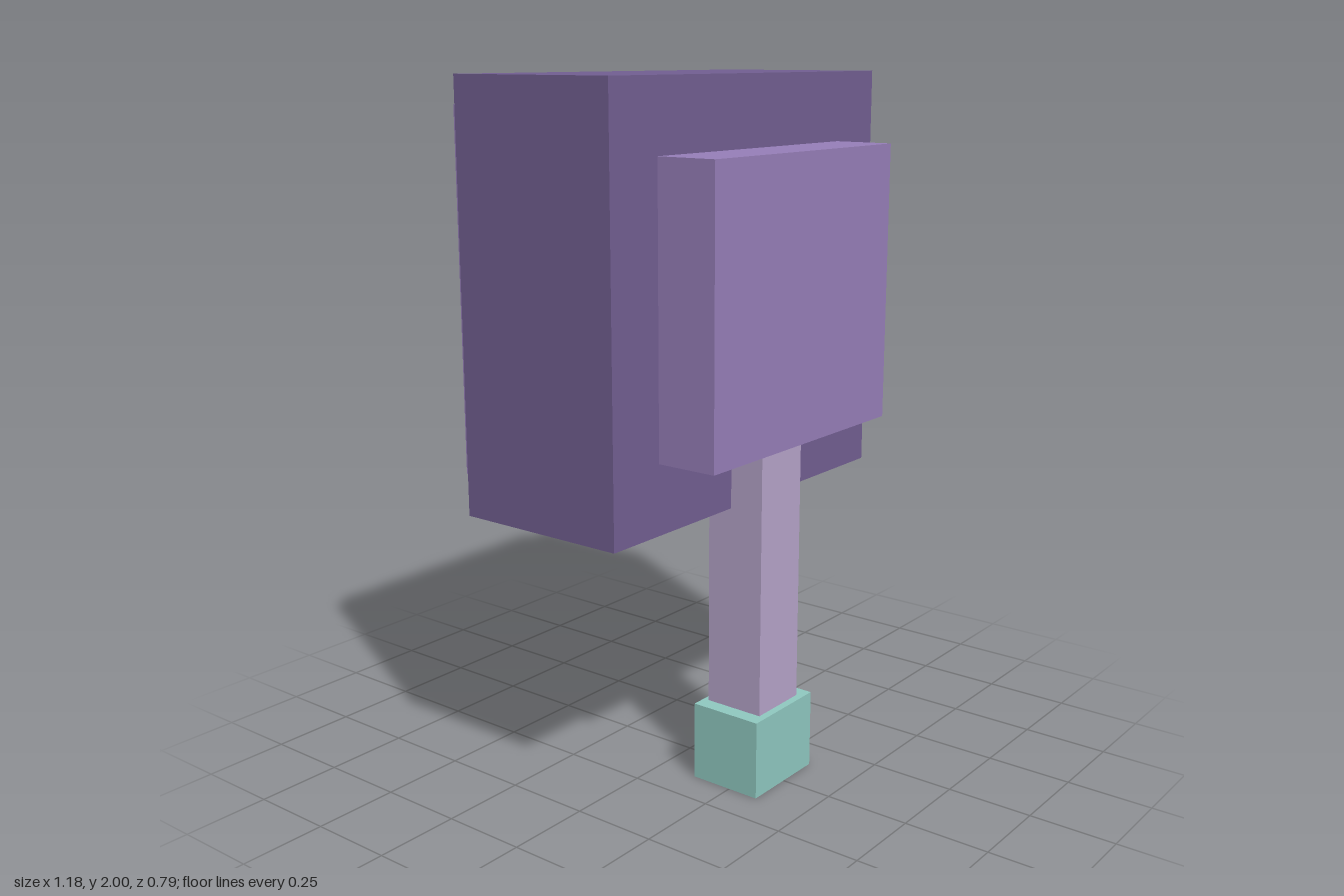
import * as THREE from 'three';

const material = (name, color) => {
  const m = new THREE.MeshStandardMaterial({ color });
  m.name = name;
  return m;
};

// Box given by its lower and upper corners
function block(name, mat, [x0, y0, z0], [x1, y1, z1]) {
  const mesh = new THREE.Mesh(new THREE.BoxGeometry(x1 - x0, y1 - y0, z1 - z0), mat);
  mesh.position.set((x0 + x1) / 2, (y0 + y1) / 2, (z0 + z1) / 2);
  mesh.name = name;
  return mesh;
}

export function createModel() {
  const darkPurple = material('dark purple', 0x725f92);
  const purple = material('purple', 0x977fb9);
  const lilac = material('lilac', 0xb6a4ca);
  const teal = material('teal', 0x90c9c1);

  const group = new THREE.Group();
  group.name = 'blockyPaddle';
  group.add(
    // Large square head with a raised panel on each face
    block('head', darkPurple, [-0.59, 0.825, -0.303], [0.588, 2, 0.218]),
    block('frontPanel', purple, [-0.409, 1.02, 0.21], [0.406, 1.805, 0.396]),
    block('backPanel', purple, [-0.506, 0.91, -0.396], [0.504, 1.92, -0.295]),
    // Square handle, its top tucked behind the front panel, and its end cap
    block('handle', lilac, [-0.094, 0.2, 0.142], [0.092, 1.03, 0.322]),
    block('handleCap', teal, [-0.138, 0, 0.125], [0.135, 0.23, 0.344]),
  );
  return group;
}
